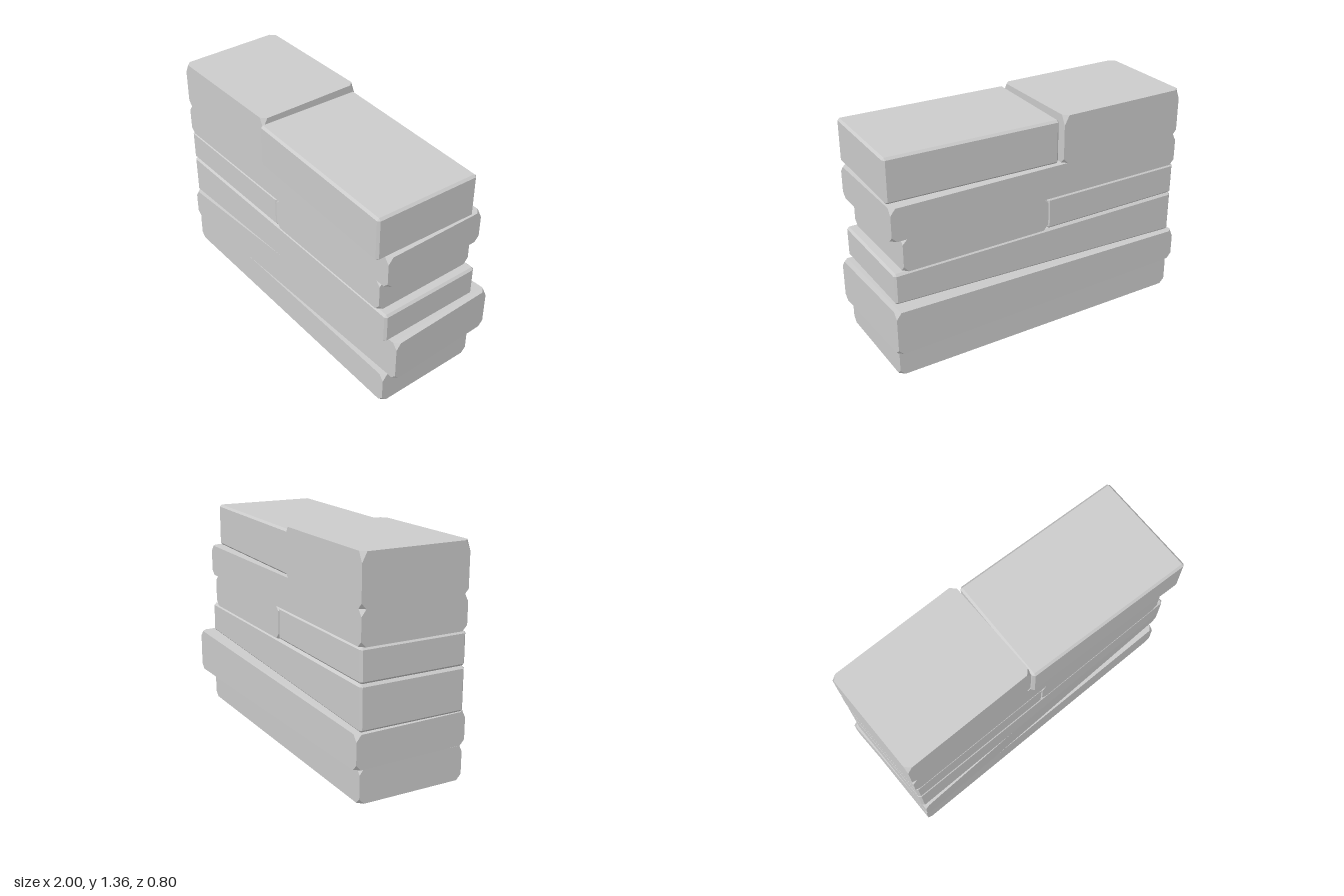
import * as THREE from 'three';
import { ConvexGeometry } from 'three/addons/geometries/ConvexGeometry.js';

const material = new THREE.MeshStandardMaterial({ color: 0xcccccc, flatShading: true });

// Footprint corners [x, z]: back left, back right, front right, front left (as seen from above)
const rect = (x0, x1, z0 = -0.32, z1 = 0.34) => [[x0, z0], [x1, z0], [x1, z1], [x0, z1]];

// A stone over a four-cornered footprint. Heights are [at low x, at high x].
// 'chipped' stones have their eight corners cut off, 'bevelled' ones have all edges chamfered.
function stone(name, style, foot, bottom, top, cutLow = 0.032, cutHigh = 0.038) {
  const points = [];
  foot.forEach(([x, z], i) => {
    const next = foot[(i + 1) % 4], prev = foot[(i + 3) % 4];
    const side = i === 1 || i === 2 ? 1 : 0;
    const here = new THREE.Vector2(x, z);
    const [toA, toB] = [next, prev].map(([px, pz]) => new THREE.Vector2(px, pz).sub(here).normalize());
    const put = (a, b, y) => {
      const p = here.clone().addScaledVector(toA, a).addScaledVector(toB, b);
      points.push(new THREE.Vector3(p.x, y, p.y));
    };
    [[bottom[side], 1, cutLow], [top[side], -1, cutHigh]].forEach(([y, dir, cutY]) => {
      if (style === 'chipped') {
        const c = 0.03;
        put(c, 0, y);
        put(0, c, y);
        put(0, 0, y + dir * cutY);
      } else {
        const b = 0.013;
        put(b, b, y);
        put(b, 0, y + dir * b);
        put(0, b, y + dir * b);
      }
    });
  });
  const mesh = new THREE.Mesh(new ConvexGeometry(points), material);
  mesh.name = name;
  return mesh;
}

export function createModel() {
  const group = new THREE.Group();
  group.name = 'stackedStones';
  const flat = (y) => [y, y];

  // Two long stones at the foot, the upper one turned and wedge shaped
  group.add(stone('baseStone', 'chipped', rect(-0.985, 0.943), flat(0), flat(0.205)));
  group.add(stone('wedgeStone', 'chipped',
    [[-1, -0.35], [0.98, -0.402], [1, 0.302], [-0.982, 0.356]], flat(0.203), [0.402, 0.473]));

  // Long stone resting on the slope
  group.add(stone('slopedStone', 'bevelled', rect(-0.985, 0.943), [0.403, 0.472], flat(0.665)));

  // Course of two short stones
  group.add(stone('leftMiddleStone', 'bevelled', rect(-0.985, -0.05), flat(0.667), flat(0.864)));
  group.add(stone('rightMiddleStone', 'chipped', rect(-0.052, 0.883), flat(0.665), flat(0.865), 0.035, 0.03));

  // Long stone carrying the top course
  group.add(stone('upperStone', 'chipped', rect(-0.985, 0.943), flat(0.864), flat(1.063)));

  // Top course, its right stone turned
  group.add(stone('topLeftStone', 'chipped', rect(-0.985, -0.152), flat(1.062), flat(1.356), 0.032, 0.058));
  group.add(stone('topRightStone', 'bevelled',
    [[-0.133, -0.298], [0.94, -0.26], [0.92, 0.4], [-0.153, 0.362]], flat(1.062), flat(1.33)));

  return group;
}
